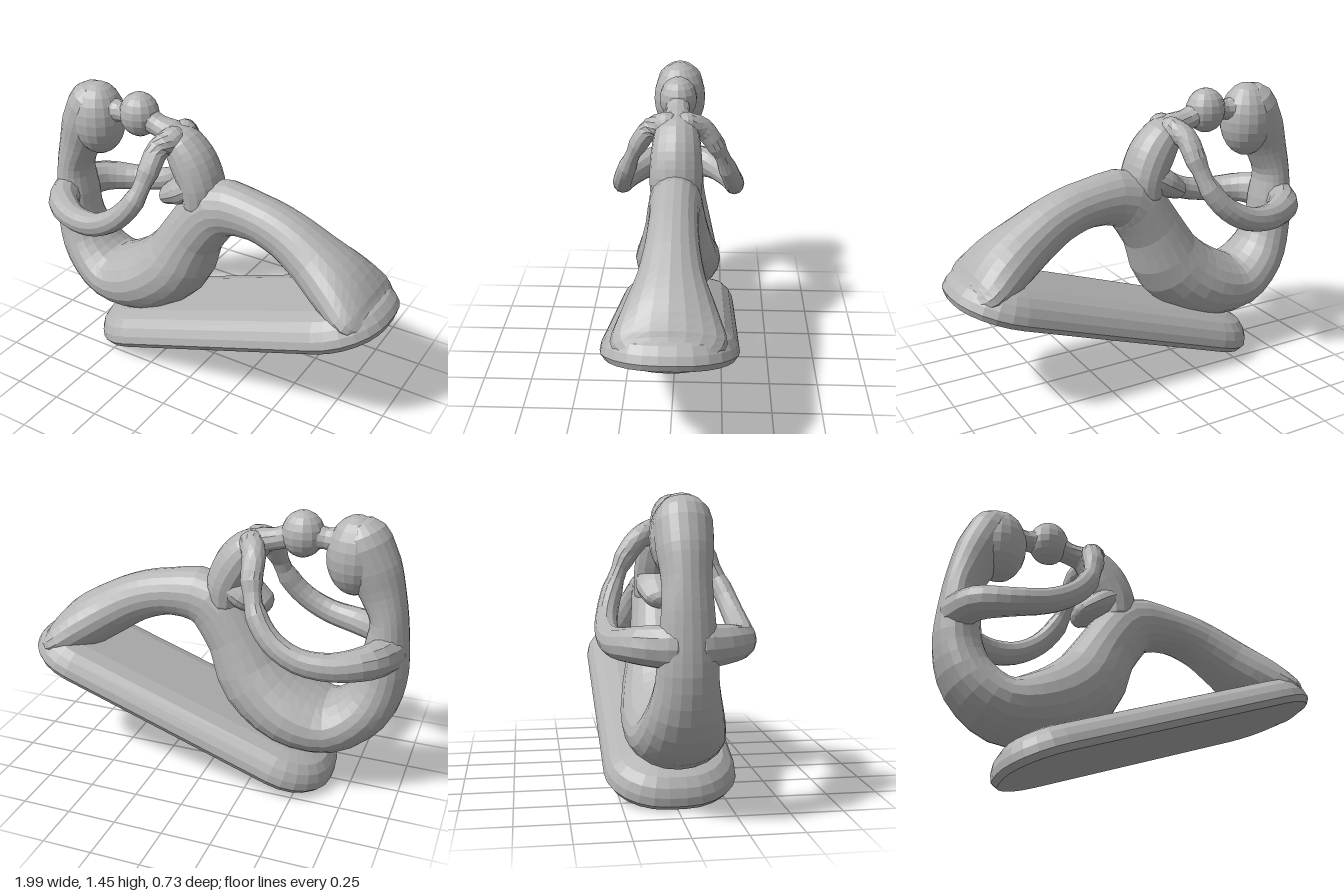
import * as THREE from 'three';

const stone = new THREE.MeshStandardMaterial({ color: 0xb4b4b4, flatShading: true });
stone.name = 'grey stone';

// Skin a list of closed rings (counter-clockwise about the direction of travel), closing both ends.
function loft(rings) {
  const n = rings[0].length, pos = [], idx = [];
  const middle = (ring) => ring.reduce((s, p) => s.add(p), new THREE.Vector3()).divideScalar(n);
  for (const ring of rings) for (const p of ring) pos.push(p.x, p.y, p.z);
  const first = rings.length * n, last = first + 1, top = (rings.length - 1) * n;
  for (const c of [middle(rings[0]), middle(rings[rings.length - 1])]) pos.push(c.x, c.y, c.z);
  for (let j = 0; j < n; j++) {
    const k = (j + 1) % n;
    for (let i = 0; i < rings.length - 1; i++) {
      const a = i * n + j, b = i * n + k;
      idx.push(a, b, b + n, a, b + n, a + n);
    }
    idx.push(first, k, j, last, top + j, top + k);
  }
  const g = new THREE.BufferGeometry();
  g.setAttribute('position', new THREE.Float32BufferAttribute(pos, 3));
  g.setIndex(idx);
  g.computeVertexNormals();
  return g;
}

// Limb with rounded ends. Each point is [x, y, z, radius in the side plane, radius across].
function limb(points, sides = 16, stepsPer = 3) {
  const path = new THREE.CatmullRomCurve3(points.map((p) => new THREE.Vector3(p[0], p[1], p[2])));
  const size = new THREE.CatmullRomCurve3(points.map((p) => new THREE.Vector3(p[3], p[4], 0)));
  const steps = (points.length - 1) * stepsPer;
  const ring = (u, scale, push) => {
    const t = path.getTangent(u), s = size.getPoint(u);
    const c = path.getPoint(u).addScaledVector(t, push * Math.min(s.x, s.y));
    const across = new THREE.Vector3(0, 0, 1).addScaledVector(t, -t.z).normalize();
    const up = new THREE.Vector3().crossVectors(across, t);
    return Array.from({ length: sides }, (_, j) => {
      const a = (j / sides) * Math.PI * 2;
      return c.clone().addScaledVector(up, Math.cos(a) * s.x * scale)
        .addScaledVector(across, Math.sin(a) * s.y * scale);
    });
  };
  const rings = [];
  for (const a of [1.35, 0.9, 0.45]) rings.push(ring(0, Math.cos(a), -Math.sin(a)));
  for (let i = 0; i <= steps; i++) rings.push(ring(i / steps, 1, 0));
  for (const a of [0.45, 0.9, 1.35]) rings.push(ring(1, Math.cos(a), Math.sin(a)));
  return loft(rings);
}

// Tilted slab with rounded corners and softened edges. Layers are [height, inset].
function slab() {
  const tilt = Math.atan2(0.575, 1.64), co = Math.cos(tilt), si = Math.sin(tilt);
  const layers = [[0, 0.02], [0.03, 0], [0.07, 0.008], [0.11, 0.03], [0.145, 0.07], [0.165, 0.14]];
  return loft(layers.map(([h, inset]) => {
    const r = 0.28 - inset, ring = [];
    for (let q = 0; q < 4; q++) {
      const sz = q === 0 || q === 3 ? 1 : -1, ss = q < 2 ? 1 : -1;
      for (let i = 0; i <= 6; i++) {
        const a = (q + i / 6) * Math.PI / 2;
        const z = sz * 0.04 + r * Math.cos(a), s = ss * 0.59 + r * Math.sin(a);
        ring.push(new THREE.Vector3(0.18 + s * co - h * si, 0.281 + s * si + h * co, z));
      }
    }
    return ring;
  }));
}

export function createModel() {
  const model = new THREE.Group();
  model.name = 'embracing figures sculpture';
  const add = (name, geometry, x = 0, y = 0, z = 0) => {
    const mesh = new THREE.Mesh(geometry, stone);
    mesh.name = name;
    mesh.position.set(x, y, z);
    model.add(mesh);
    return mesh;
  };

  add('base', slab());

  // Parent: back, hips, thigh, knee and shin in one continuous sweep
  add('parentBody', limb([
    [-0.74, 1.31, 0, 0.13, 0.13],
    [-0.79, 1.2, 0, 0.13, 0.125],
    [-0.84, 1.08, 0, 0.11, 0.11],
    [-0.88, 0.95, 0, 0.092, 0.115],
    [-0.88, 0.8, 0, 0.11, 0.13],
    [-0.87, 0.64, 0, 0.122, 0.14],
    [-0.8, 0.47, 0, 0.14, 0.18],
    [-0.64, 0.355, 0, 0.155, 0.22],
    [-0.42, 0.39, 0, 0.19, 0.24],
    [-0.23, 0.53, 0, 0.195, 0.21],
    [-0.11, 0.75, 0, 0.16, 0.16],
    [0.03, 0.92, 0, 0.155, 0.135],
    [0.25, 0.93, 0, 0.122, 0.12],
    [0.42, 0.88, 0, 0.125, 0.13],
    [0.57, 0.795, 0, 0.135, 0.16],
    [0.72, 0.7, 0, 0.135, 0.22],
    [0.84, 0.62, 0, 0.105, 0.26],
    [0.92, 0.585, 0, 0.06, 0.2],
  ], 20));

  const head = add('parentHead', new THREE.SphereGeometry(1, 18, 12), -0.7, 1.25, 0);
  head.scale.set(0.14, 0.195, 0.142);

  // Arms of both figures join into one loop on each side
  for (const [name, m] of [['leftFrontArms', 1], ['rightBackArms', -1]]) {
    add(name, limb([
      [-0.9, 0.8, 0.06, 0.1, 0.08],
      [-0.83, 0.8, 0.19, 0.085, 0.08],
      [-0.68, 0.79, 0.28, 0.07, 0.066],
      [-0.52, 0.81, 0.31, 0.063, 0.056],
      [-0.39, 0.88, 0.3, 0.058, 0.052],
      [-0.3, 0.99, 0.265, 0.055, 0.05],
      [-0.255, 1.13, 0.205, 0.055, 0.05],
      [-0.24, 1.23, 0.13, 0.058, 0.055],
      [-0.2, 1.265, 0.05, 0.065, 0.06],
    ].map(([x, y, z, r, w]) => [x, y, z * m, r, w]), 12));
  }

  // Child, sitting on the parent's knee
  add('childBody', limb([
    [-0.24, 1.265, 0, 0.065, 0.08],
    [-0.18, 1.22, 0, 0.098, 0.115],
    [-0.115, 1.13, 0, 0.115, 0.13],
    [-0.07, 1.03, 0, 0.108, 0.135],
    [-0.06, 0.94, 0, 0.1, 0.13],
  ]));
  add('childLegs', limb([
    [-0.06, 1.05, 0, 0.08, 0.12],
    [-0.16, 0.99, 0, 0.08, 0.135],
    [-0.24, 0.945, 0, 0.06, 0.11],
  ]));
  add('childNeck', limb([
    [-0.41, 1.32, 0, 0.07, 0.07],
    [-0.33, 1.29, 0, 0.055, 0.06],
    [-0.24, 1.27, 0, 0.06, 0.08],
  ], 12));
  const childHead = add('childHead', new THREE.SphereGeometry(1, 14, 10), -0.44, 1.325, 0);
  childHead.scale.set(0.105, 0.115, 0.1);

  // Kiss joining the two faces
  add('kiss', limb([
    [-0.63, 1.31, 0, 0.08, 0.08],
    [-0.555, 1.315, 0, 0.052, 0.055],
    [-0.48, 1.32, 0, 0.075, 0.075],
  ], 12));

  return model;
}
